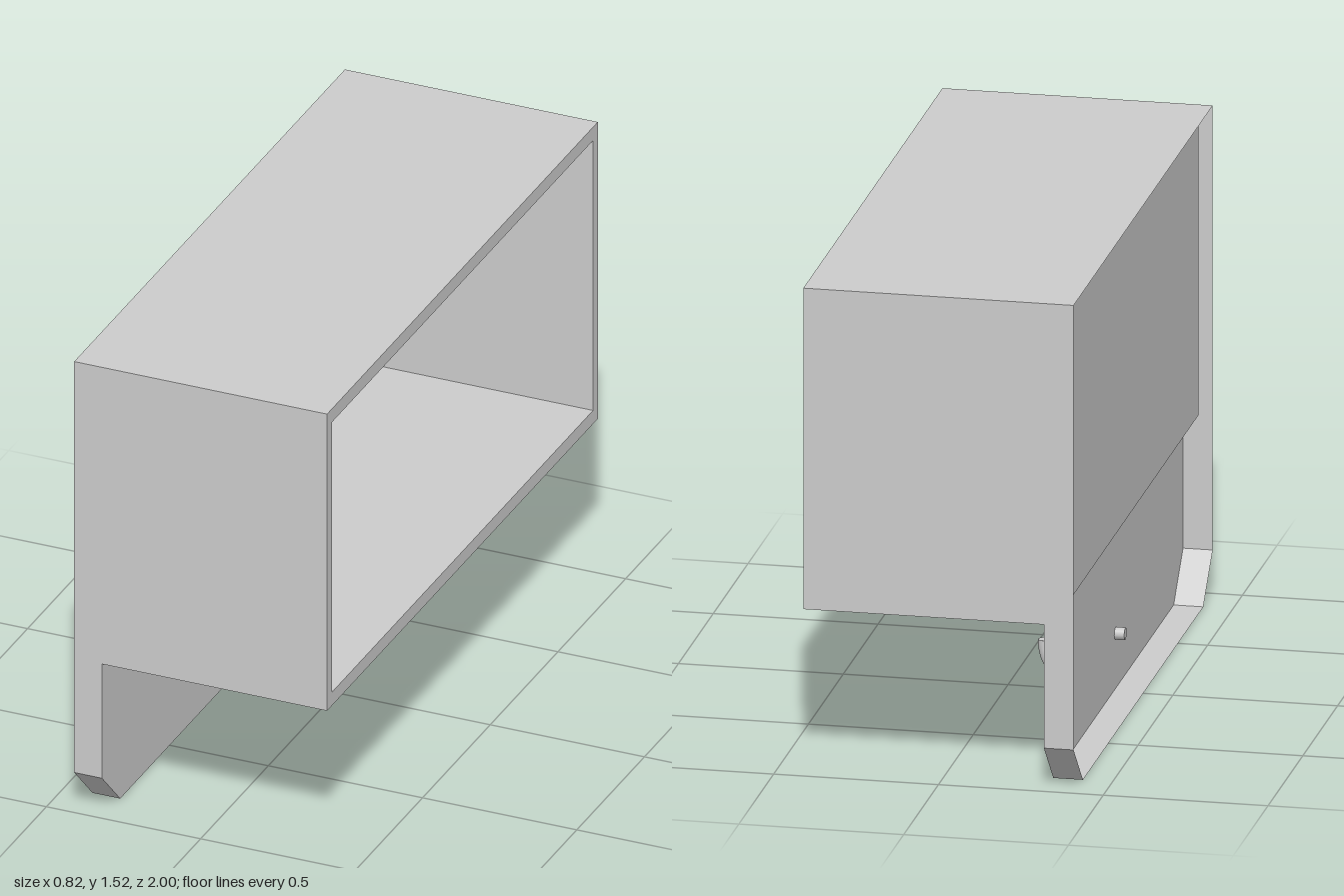
import * as THREE from 'three';

const sheetMaterial = new THREE.MeshStandardMaterial({ color: 0xcccccc, side: THREE.DoubleSide });

// A ring is a list of [z, y] corners, counter-clockwise seen from +x.
const rect = (z, y0, y1) => [[z, y0], [-z, y0], [-z, y1], [z, y1]];
const boardOutline = (top) => [[1, 0.135], [0.865, 0], [-0.865, 0], [-1, 0.135], [-1, top], [1, top]];
const at = (x, ring) => ring.map(([z, y]) => new THREE.Vector3(x, y, z));

// Flat-sided mesh from convex polygons
function sheets(name, polygons) {
  const points = [];
  for (const p of polygons) {
    for (let i = 1; i < p.length - 1; i++) points.push(p[0], p[i], p[i + 1]);
  }
  const geometry = new THREE.BufferGeometry().setFromPoints(points);
  geometry.computeVertexNormals();
  const mesh = new THREE.Mesh(geometry, sheetMaterial);
  mesh.name = name;
  return mesh;
}

// Quads joining two rings with the same number of corners
function band(a, b) {
  return a.map((p, i) => {
    const j = (i + 1) % a.length;
    return [b[i], p, a[j], b[j]];
  });
}

function createHook() {
  const hook = new THREE.Group();
  hook.name = 'hook';
  const z = 0.03, radius = 0.019;
  const path = [
    [-0.35, 0.172], [-0.3, 0.172], [-0.243, 0.17], [-0.222, 0.145], [-0.208, 0.085], [-0.19, 0.058],
    [-0.16, 0.043], [-0.13, 0.054], [-0.113, 0.085], [-0.105, 0.115], [-0.104, 0.14],
  ].map(([x, y]) => new THREE.Vector3(x, y, z));
  const curve = new THREE.CatmullRomCurve3(path, false, 'catmullrom', 0.3);
  const rod = new THREE.Mesh(new THREE.TubeGeometry(curve, 30, radius, 10), sheetMaterial);
  rod.name = 'hookRod';
  hook.add(rod);
  // End caps
  for (const t of [0, 1]) {
    const cap = new THREE.Mesh(new THREE.CircleGeometry(radius, 10), sheetMaterial);
    cap.name = 'hookEnd';
    cap.position.copy(curve.getPoint(t));
    const outward = curve.getTangent(t).multiplyScalar(t ? 1 : -1);
    cap.quaternion.setFromUnitVectors(new THREE.Vector3(0, 0, 1), outward);
    hook.add(cap);
  }
  return hook;
}

export function createModel() {
  const model = new THREE.Group();
  model.name = 'wallShelfWithHook';

  const back = -0.41, boardFront = -0.32, front = 0.41, cavityBack = -0.375;
  const boxRing = rect(1, 0.52, 1.52);
  const cavityRing = rect(0.965, 0.565, 1.475);
  const whole = boardOutline(1.52);

  model.add(
    // Hollow backboard, open at the wall side
    sheets('backboardEdge', band(at(back, whole), at(boardFront, whole))),
    sheets('backboardFront', [at(boardFront, boardOutline(0.52))]),
    // Shelf box with its rim and cavity
    sheets('boxShell', band(at(boardFront, boxRing), at(front, boxRing))),
    sheets('boxRim', band(at(front, boxRing), at(front, cavityRing))),
    sheets('cavityWalls', band(at(front, cavityRing), at(cavityBack, cavityRing))),
    sheets('cavityBack', [at(cavityBack, cavityRing)]),
    createHook(),
  );
  return model;
}
